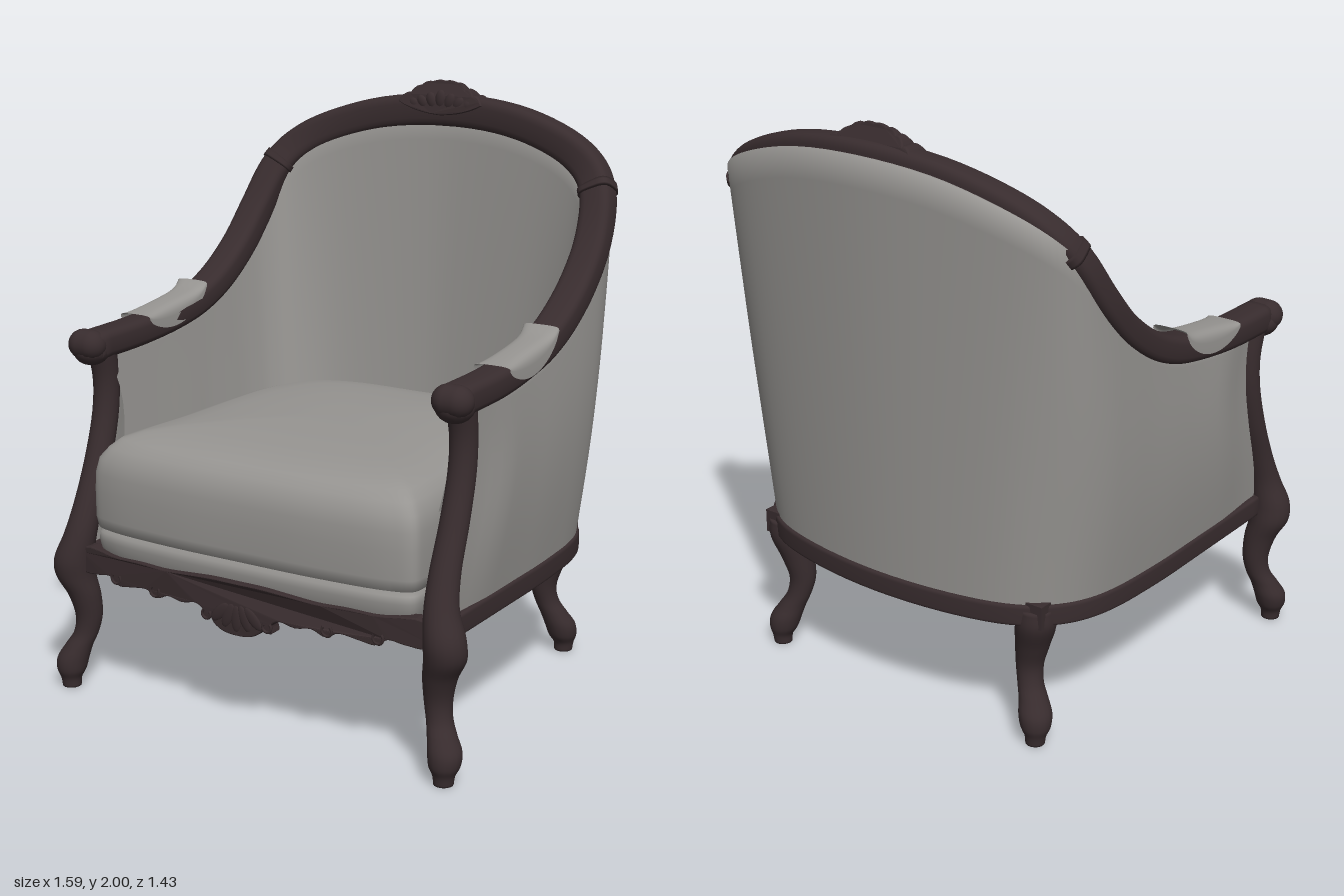
import * as THREE from 'three';

const V = (x, y, z) => new THREE.Vector3(x, y, z);
const wood = new THREE.MeshStandardMaterial({ color: 0x382c2e });
wood.name = 'dark wood';
const fabric = new THREE.MeshStandardMaterial({ color: 0x969491, side: THREE.DoubleSide });
fabric.name = 'grey fabric';

// Smooth surface from rows of points; closed joins the last column to the first
function surface(rows, closed) {
  const n = rows[0].length, index = [];
  const geo = new THREE.BufferGeometry().setFromPoints(rows.flat());
  for (let i = 0; i < rows.length - 1; i++) {
    for (let j = 0; j < (closed ? n : n - 1); j++) {
      const k = (j + 1) % n, a = i * n + j, b = a + n, c = i * n + n + k, d = i * n + k;
      index.push(a, b, c, a, c, d);
    }
  }
  geo.setIndex(index);
  geo.computeVertexNormals();
  return geo;
}

// Half path mirrored across x = 0
const mirrored = half => new THREE.CatmullRomCurve3(
  [...half, ...half.slice(0, -1).reverse().map(p => V(-p.x, p.y, p.z))]);

// Rounded-rectangle section swept along a curve, with closed ends
function sweep(curve, lateral, w, h, u0, u1, steps, power = 0.6) {
  const rows = [], N = 24, bend = c => Math.sign(c) * Math.abs(c) ** power;
  for (let i = -1; i <= steps + 1; i++) {
    const k = i < 0 || i > steps ? 0 : 1;
    const u = u0 + (u1 - u0) * Math.min(Math.max(i, 0), steps) / steps;
    const p = curve.getPoint(u), t = curve.getTangent(u), lat = lateral(p, t);
    lat.addScaledVector(t, -lat.dot(t)).normalize();
    const up = lat.clone().cross(t), row = [];
    for (let j = 0; j < N; j++) {
      const a = j / N * Math.PI * 2;
      row.push(p.clone().addScaledVector(lat, k * w * bend(Math.cos(a))).addScaledVector(up, k * h * bend(Math.sin(a))));
    }
    rows.push(row);
  }
  return surface(rows, true);
}

// Turned, curving upright from [x, y, z, radius] stations
function upright(stations, side) {
  const path = new THREE.CatmullRomCurve3(stations.map(s => V(s[0] * side, s[1], s[2])));
  const radius = new THREE.CatmullRomCurve3(stations.map(s => V(s[3], s[1], 0)));
  const rows = [], steps = stations.length * 5, N = 18;
  for (let i = -1; i <= steps + 1; i++) {
    const u = Math.min(Math.max(i, 0), steps) / steps, p = path.getPoint(u);
    const r = i < 0 || i > steps ? 0 : radius.getPoint(u).x;
    rows.push(Array.from({ length: N }, (_, j) => {
      const a = j / N * Math.PI * 2;
      return V(p.x + r * Math.cos(a), p.y, p.z + r * Math.sin(a));
    }));
  }
  return surface(rows, true);
}

// Stacked rings of a plan outline from [y, scale] layers
function cushion(outline, layers, cz) {
  return surface(layers.map(([y, s]) => outline.map(p => V(p.x * s, y, cz + (p.z - cz) * s))), true);
}

export function createModel() {
  const model = new THREE.Group();
  const add = (name, geo, mat, pos, scale, rotZ = 0) => {
    const m = new THREE.Mesh(geo, mat);
    m.name = name;
    if (pos) m.position.set(...pos);
    if (scale) m.scale.set(...scale);
    m.rotation.z = rotZ;
    model.add(m);
  };

  // Arm and back rail, and the U-shaped base rail beneath it
  const rail = mirrored([[.69, 1.183, .56], [.69, 1.19, .3], [.685, 1.213, .1], [.685, 1.243, -.03], [.685, 1.3, -.16],
    [.685, 1.4, -.3], [.68, 1.52, -.41], [.652, 1.655, -.5], [.6, 1.73, -.55], [.5, 1.795, -.59],
    [.28, 1.865, -.63], [0, 1.89, -.65]].map(p => V(...p)));
  const base = mirrored([[.68, .6], [.68, .35], [.68, .15], [.68, 0], [.675, -.13], [.665, -.26], [.645, -.36],
    [.61, -.44], [.55, -.51], [.45, -.57], [.25, -.62], [0, -.64]].map(([x, z]) => V(x, .465, z)));
  const railLat = p => V((p.x / .69) ** 3 / .69, (Math.max(p.y - 1.3, 0) / .59) ** 3 / .59, 0);
  const baseLat = (p, t) => V(-t.z, 0, t.x);
  add('arm and back rail', sweep(rail, railLat, .058, .049, 0, 1, 120), wood);
  add('seat rail', sweep(base, baseLat, .032, .037, 0, 1, 90, .3), wood);
  for (const u of [.328, .672]) add('rail collar', sweep(rail, railLat, .063, .055, u - .006, u + .006, 4), wood);

  // Upholstered shell: inside face, over the top, outside face
  const shell = [], profile = [];
  for (let k = 0; k <= 14; k++) profile.push([k / 14, -1]);
  for (let k = 14; k >= 0; k--) profile.push([k / 14, 1]);
  for (let i = 0; i <= 96; i++) {
    const u = .004 + .992 * i / 96, b = base.getPoint(u), r = rail.getPoint(u);
    const n = baseLat(b, base.getTangent(u)).normalize();
    const away = Math.abs(u - .5) * 2, edge = Math.max(0, away - .5) * 2;
    const back = 1 - THREE.MathUtils.smoothstep(away, .25, .5), front = THREE.MathUtils.smoothstep(away, .9, .99);
    shell.push(profile.map(([v, face]) => {
      const inner = -.11 + .08 * v - .08 * Math.abs(n.x * n.z) * (1 - .7 * v);
      const outer = .018 + (.022 + .025 * back) * v + .025 * (1 - back) * Math.sin(Math.PI * v);
      const p = b.clone().lerp(r, v).addScaledVector(n, face < 0 ? inner : outer * (1 - .6 * front));
      p.z -= .09 * Math.sin(Math.PI * v ** 1.8) * edge ** 2;
      if (face > 0) p.y += .02 * v * back;
      return p;
    }));
  }
  add('upholstered shell', surface(shell, false), fabric);

  // Seat cushion over a hollow front roll
  const half = [[0, .7], [.3, .697], [.54, .675], [.615, .645], [.625, .58], [.605, .3], [.6, 0], [.58, -.25],
    [.5, -.44], [.33, -.52], [0, -.53]].map(([x, z]) => V(x, 0, z));
  const plan = [...half.slice().reverse(), ...half.slice(1, -1).map(p => V(-p.x, 0, p.z))];
  const outline = new THREE.CatmullRomCurve3(plan, true).getPoints(96).slice(0, -1);
  add('seat cushion', cushion(outline, [[.585, 0], [.585, .96], [.592, .99], [.63, 1], [.72, 1], [.78, .997],
    [.83, .98], [.865, .94], [.893, .89], [.912, .8], [.927, .65], [.937, .4], [.94, .15], [.94, 0]], .08), fabric);
  add('seat deck', cushion(outline, [[.57, 0], [.57, .88], [.5, .92], [.48, .95], [.5, .975], [.55, .99], [.575, .985],
    [.587, .96], [.587, 0]], .08), fabric);

  // Legs, posts, arm scrolls and arm pads
  const frontLeg = [[.735, 0, .66, .032], [.736, .03, .66, .036], [.736, .06, .657, .05], [.733, .1, .65, .055],
    [.716, .145, .637, .048], [.697, .19, .62, .043], [.688, .25, .613, .046], [.698, .33, .622, .056],
    [.722, .4, .635, .068], [.722, .46, .64, .068], [.702, .55, .625, .056], [.692, .65, .59, .05],
    [.69, .8, .53, .047], [.69, .95, .487, .045], [.69, 1.06, .48, .045], [.69, 1.17, .5, .05]];
  const backLeg = [[.552, 0, -.535, .032], [.553, .03, -.535, .036], [.55, .06, -.53, .05], [.543, .1, -.523, .055],
    [.524, .145, -.508, .048], [.503, .19, -.495, .043], [.493, .25, -.485, .046], [.507, .33, -.49, .057],
    [.53, .42, -.505, .067], [.535, .48, -.51, .058]];
  for (const s of [1, -1]) {
    const side = s > 0 ? 'left' : 'right';
    add(side + ' front leg and arm post', upright(frontLeg, s), wood);
    add(side + ' back leg', upright(backLeg, s), wood);
    add(side + ' back leg block', new THREE.BoxGeometry(.075, .082, .08), wood, [s * .55, .469, -.515]);
    add(side + ' arm scroll', new THREE.CapsuleGeometry(.051, .034, 8, 20), wood, [s * .697, 1.188, .562], [1, 1, 1], Math.PI / 2);
    add(side + ' arm scroll underside', new THREE.SphereGeometry(.062, 18, 12), wood, [s * .695, 1.168, .545], [1.02, .85, 1]);
    const pad = [];
    for (let i = 0; i <= 20; i++) {
      const t = i / 20, top = 1.245 + .046 * t + .02 * t ** 12;
      const drop = .015 + .065 * Math.sin(Math.PI * t) ** .7;
      pad.push(Array.from({ length: 17 }, (_, j) => {
        const a = (j / 8 - 1) * Math.PI / 2;
        return V(s * .692 + .064 * Math.sign(a) * Math.abs(Math.sin(a)) ** .6,
          top - drop * (1 - Math.cos(a) ** .45), .31 - .33 * t);
      }));
    }
    add(side + ' arm pad', surface(pad, false), fabric);
  }

  // Carved bowed apron
  const bow = x => .713 - .055 * (x / .66) ** 2;
  const lower = [[0, .352], [.05, .357], [.085, .375], [.1, .395], [.13, .382], [.128, .41], [.16, .43], [.22, .42],
    [.28, .428], [.33, .41], [.37, .43], [.45, .42], [.5, .414], [.54, .438], [.6, .43], [.67, .43]];
  const upper = [[.67, .505], [.5, .505], [.4, .51], [.3, .508], [.2, .515], [.1, .522], [0, .522]];
  const rightHalf = [...lower, ...upper];
  const contour = [...rightHalf, ...rightHalf.slice(1, -1).reverse().map(([x, y]) => [-x, y])];
  const ring = new THREE.CatmullRomCurve3(contour.map(([x, y]) => V(x, y, 0)), true, 'centripetal').getPoints(170);
  const apron = new THREE.ExtrudeGeometry(new THREE.Shape(ring.slice(0, -1).map(p => new THREE.Vector2(p.x, p.y))),
    { depth: .04, bevelSize: .004, bevelThickness: .005, bevelSegments: 2 });
  const ap = apron.attributes.position;
  for (let i = 0; i < ap.count; i++) ap.setZ(i, ap.getZ(i) - .045 + bow(ap.getX(i)));
  apron.computeVertexNormals();
  add('front apron', apron, wood);
  for (let k = -2; k <= 2; k++) {
    add('apron shell petal', new THREE.SphereGeometry(1, 12, 8), wood,
      [k * .032, .405 + Math.abs(k) * .006, .711], [.02, .045, .006], k * .4);
  }
  for (const s of [1, -1]) for (const [x, y, r] of [[.118, .4, .016], [.335, .43, .018], [.51, .435, .018]]) {
    add('apron scroll', new THREE.TorusGeometry(r, .005, 6, 16, 4.7), wood, [s * x, y, bow(x)], [1, 1, 1], s > 0 ? 2.4 : 2.2);
  }

  // Carved crest thinning towards its top, with a low fan of petals
  const crest = new THREE.Shape();
  crest.moveTo(-.165, 1.92);
  const lobes = [[-.125, 1.945], [-.09, 1.97], [-.05, 1.985], [0, 1.99], [.05, 1.985], [.09, 1.965], [.125, 1.945], [.165, 1.92]];
  let px = -.165, py = 1.92;
  for (const [x, y] of lobes) {
    crest.quadraticCurveTo((px + x) / 2, Math.max(py, y) + .008, x, y);
    [px, py] = [x, y];
  }
  crest.quadraticCurveTo(.1, 1.885, 0, 1.88);
  crest.quadraticCurveTo(-.1, 1.885, -.165, 1.92);
  const crestGeo = new THREE.ExtrudeGeometry(crest, { depth: .07, bevelSize: .004, bevelThickness: .01, bevelSegments: 3 });
  const cp = crestGeo.attributes.position;
  for (let i = 0; i < cp.count; i++) {
    const thin = 1 - .85 * THREE.MathUtils.smoothstep(cp.getY(i), 1.91, 2);
    cp.setZ(i, (cp.getZ(i) - .035) * thin);
  }
  crestGeo.computeVertexNormals();
  add('crest', crestGeo, wood, [-.02, 0, -.637]);
  for (let k = -3; k <= 3; k++) {
    add('crest petal', new THREE.SphereGeometry(1, 12, 8), wood,
      [-.02 + k * .036, 1.93 - Math.abs(k) * .006, -.608], [.022, .036 - Math.abs(k) * .003, .014], -k * .35);
  }
  return model;
}
